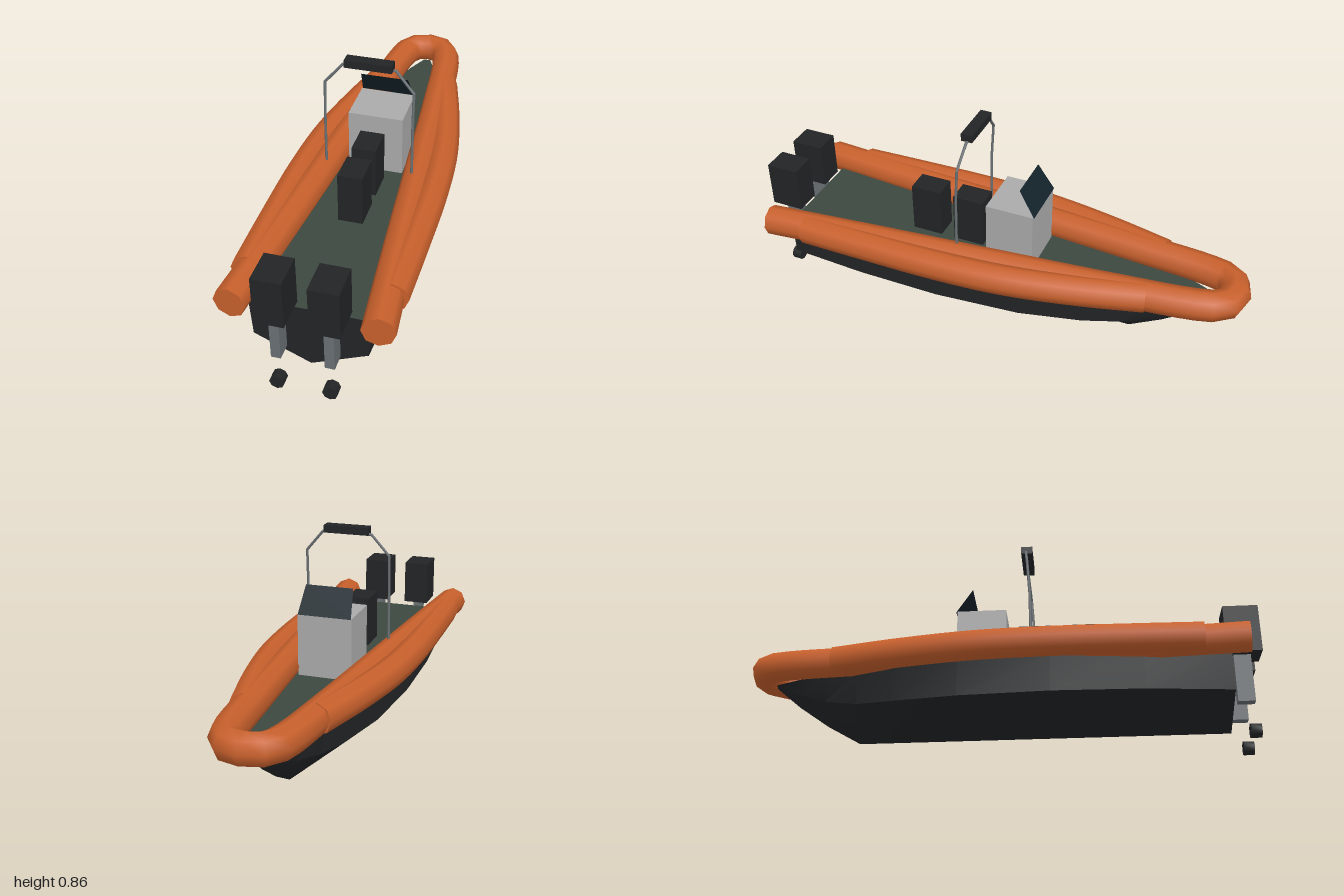
import * as THREE from 'three';
import { toCreasedNormals } from 'three/addons/utils/BufferGeometryUtils.js';

const V = (x, y, z) => new THREE.Vector3(x, y, z);
const mat = (color, side = THREE.FrontSide) => new THREE.MeshStandardMaterial({ color, side });

export function createModel() {
  const group = new THREE.Group();
  const black = mat(0x222426), orange = mat(0xc8602c), steel = mat(0x6a7074),
    grey = mat(0xaaaaaa), deckGreen = mat(0x3c483f), glass = mat(0x14232b, THREE.DoubleSide);

  const add = (name, geometry, material) => {
    const mesh = new THREE.Mesh(geometry, material);
    mesh.name = name;
    group.add(mesh);
    return mesh;
  };

  // Box given by its minimum and maximum corners
  const box = (name, [x0, y0, z0], [x1, y1, z1], material) =>
    add(name, new THREE.BoxGeometry(x1 - x0, y1 - y0, z1 - z0), material)
      .position.set((x0 + x1) / 2, (y0 + y1) / 2, (z0 + z1) / 2);

  const fromTriangles = (points) => new THREE.BufferGeometry().setFromPoints(points);

  // Skin between cross-sections that run from stern to bow
  const loft = (rows, closed) => {
    const tris = [], n = rows[0].length;
    for (let i = 0; i + 1 < rows.length; i++) {
      for (let j = 0; j < (closed ? n : n - 1); j++) {
        const k = (j + 1) % n;
        const a = rows[i][j], b = rows[i][k], c = rows[i + 1][k], d = rows[i + 1][j];
        tris.push(a, d, c, a, c, b);
      }
    }
    return tris;
  };

  // Eight-sided inflated tube with flat ends
  const inflatedTube = (name, points, radius, segments) => {
    const curve = new THREE.CatmullRomCurve3(points, false, 'centripetal');
    const geometry = new THREE.TubeGeometry(curve, segments, radius, 8);
    add(name, geometry, orange);
    const pos = geometry.attributes.position;
    const caps = [];
    for (const [ring, t] of [[0, 0], [segments, 1]]) {
      const centre = curve.getPoint(t);
      for (let j = 0; j < 8; j++) {
        const p = V().fromBufferAttribute(pos, ring * 9 + j);
        const q = V().fromBufferAttribute(pos, ring * 9 + j + 1);
        const outward = curve.getTangent(t).multiplyScalar(t ? 1 : -1);
        const normal = p.clone().sub(centre).cross(q.clone().sub(centre));
        if (normal.dot(outward) > 0) caps.push(centre, p, q);
        else caps.push(centre, q, p);
      }
    }
    const capGeometry = fromTriangles(caps);
    capGeometry.computeVertexNormals();
    add(name + 'Ends', capGeometry, orange);
  };

  // Hull stations: z, keel y, chine x, chine y, deck edge x
  const stations = [
    [0.875, 0.055, 0.21, 0.148, 0.22], [0.55, 0.055, 0.235, 0.153, 0.235],
    [0.2, 0.055, 0.24, 0.155, 0.24], [-0.15, 0.055, 0.215, 0.158, 0.22],
    [-0.4, 0.055, 0.165, 0.165, 0.175], [-0.55, 0.055, 0.12, 0.175, 0.14],
    [-0.68, 0.13, 0.08, 0.205, 0.1], [-0.8, 0.215, 0.04, 0.255, 0.06],
    [-0.9, 0.3, 0.004, 0.302, 0.015],
  ];
  const deckY = 0.31;
  const sections = stations.map(([z, ky, cx, cy, dx]) =>
    [V(0, ky, z), V(cx, cy, z), V(dx, deckY, z), V(-dx, deckY, z), V(-cx, cy, z)]);
  const [k, c1, d1, d2, c2] = sections[0];
  const hullTris = [...loft(sections.map((s) => [s[3], s[4], s[0], s[1], s[2]]), false),
    k, c1, c2, c1, d1, d2, c1, d2, c2];
  add('hull', toCreasedNormals(fromTriangles(hullTris), 0.6), black);
  const deck = fromTriangles(loft(sections.map((s) => [s[2], s[3]]), false));
  deck.computeVertexNormals();
  add('deck', deck, deckGreen);

  // Main collar, one tube around the bow
  const half = [V(0.262, 0.334, 0.94), V(0.222, 0.338, 0.5), V(0.18, 0.342, 0),
    V(0.138, 0.347, -0.5), V(0.102, 0.353, -0.84), V(0.075, 0.355, -0.915)];
  const mirrored = half.map((p) => V(-p.x, p.y, p.z)).reverse();
  inflatedTube('collar', [...half, V(0.03, 0.356, -0.942), V(-0.03, 0.356, -0.942), ...mirrored], 0.061, 64);

  // Bulging side tubes
  for (const s of [1, -1]) {
    inflatedTube(s > 0 ? 'leftSideTube' : 'rightSideTube', [
      V(s * 0.137, 0.35, -0.635), V(s * 0.2, 0.347, -0.38), V(s * 0.25, 0.344, -0.1),
      V(s * 0.268, 0.342, 0.18), V(s * 0.268, 0.34, 0.5), V(s * 0.264, 0.338, 0.77),
    ], 0.06, 24);
  }

  // Console and sloping windscreen
  box('console', [-0.11, 0.3, -0.165], [0.11, 0.562, 0.03], grey);
  const bl = V(-0.108, 0.56, -0.17), br = V(0.108, 0.56, -0.17);
  const tl = V(-0.096, 0.665, -0.105), tr = V(0.096, 0.665, -0.105);
  const screen = fromTriangles([bl, br, tr, bl, tr, tl]);
  screen.computeVertexNormals();
  add('windscreen', screen, glass);

  // Seats in line behind the console
  for (const z of [0.073, 0.257]) box('seat', [-0.048, 0.3, z], [0.048, 0.516, z + 0.127], black);

  // Mast arch of straight rods, with a light bar on top
  const arch = [V(-0.173, 0.36, 0.13), V(-0.173, 0.6, 0.127), V(-0.173, 0.745, 0.118),
    V(-0.102, 0.828, 0.11), V(0.102, 0.828, 0.11), V(0.173, 0.745, 0.118),
    V(0.173, 0.6, 0.127), V(0.173, 0.36, 0.13)];
  for (let i = 0; i + 1 < arch.length; i++) {
    const span = arch[i + 1].clone().sub(arch[i]);
    const rod = add('archRod', new THREE.CylinderGeometry(0.0055, 0.0055, span.length() + 0.003, 8), steel);
    rod.position.copy(arch[i]).addScaledVector(span, 0.5);
    rod.quaternion.setFromUnitVectors(V(0, 1, 0), span.normalize());
  }
  box('lightBar', [-0.092, 0.827, 0.09], [0.092, 0.858, 0.136], black);

  // Twin outboard engines with legs and propellers
  for (const x of [-0.097, 0.097]) {
    box('engineCowl', [x - 0.054, 0.33, 0.866], [x + 0.054, 0.52, 1], black);
    box('engineLeg', [x - 0.018, 0.14, 0.895], [x + 0.018, 0.33, 0.96], steel);
    const prop = add('propeller', toCreasedNormals(new THREE.CylinderGeometry(0.028, 0.028, 0.04, 8), 0.9), black);
    prop.rotation.x = Math.PI / 2;
    prop.position.set(x, 0.028, 0.95);
  }
  return group;
}
